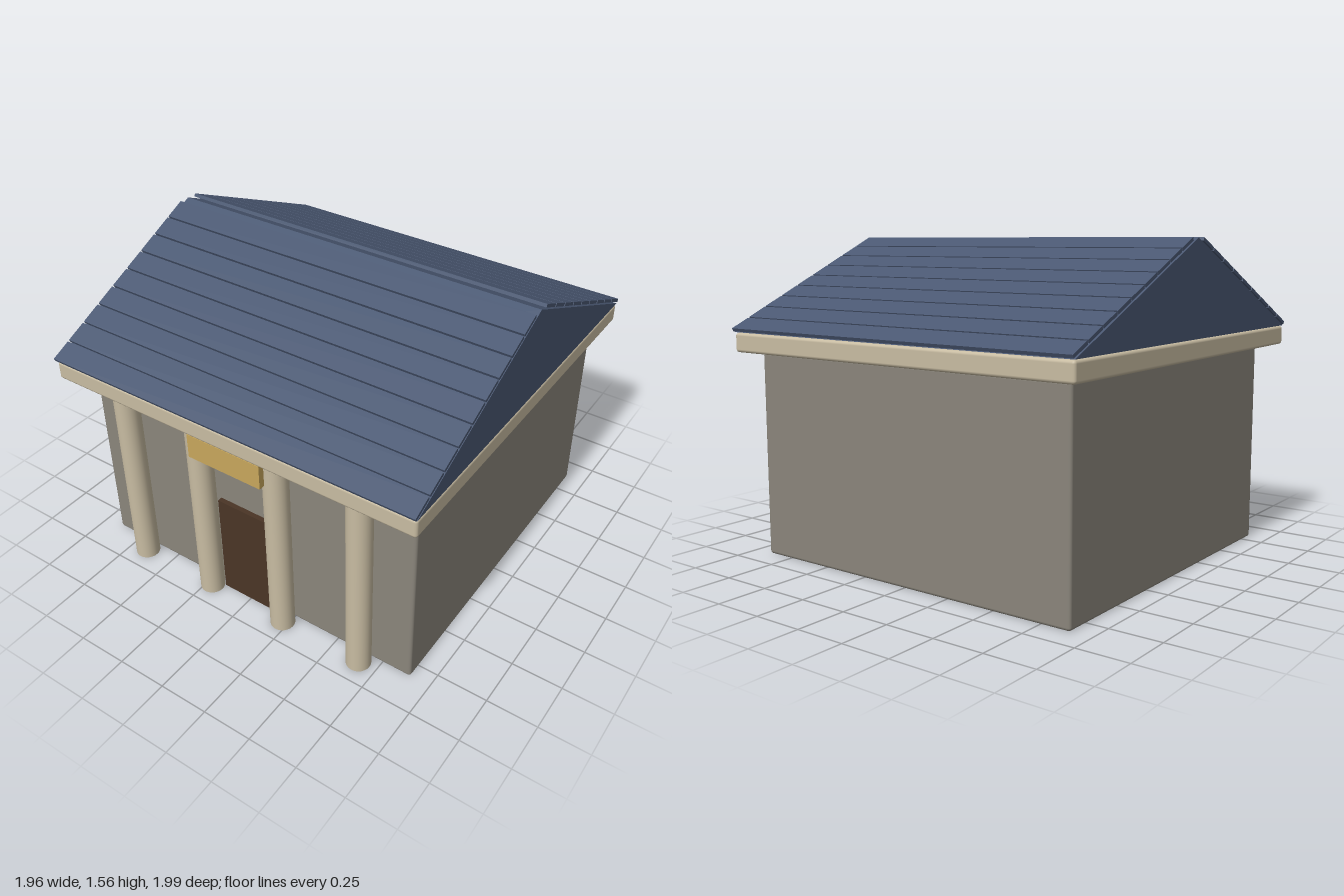
import * as THREE from 'three';
import { RoundedBoxGeometry } from 'three/addons/geometries/RoundedBoxGeometry.js';

const mat = (color) => new THREE.MeshStandardMaterial({ color });
const stone = mat(0x8a857b);
const cream = mat(0xc8bca2);
const slate = mat(0x4a5872);
const wood = mat(0x4a3526);
const gold = mat(0xc8a75c);

export function createModel() {
  const model = new THREE.Group();
  const add = (name, geometry, material, x, y, z) => {
    const mesh = new THREE.Mesh(geometry, material);
    mesh.name = name;
    mesh.position.set(x, y, z);
    model.add(mesh);
    return mesh;
  };

  // Softly bevelled wall block and the slab above it
  add('walls', new RoundedBoxGeometry(1.8, 1.01, 1.71, 2, 0.015), stone, 0, 0.505, -0.025);
  add('entablature', new RoundedBoxGeometry(1.96, 0.095, 1.96, 2, 0.015), cream, 0, 1.06, 0);

  // Row of columns in front of the wall
  const columnGeometry = new THREE.CylinderGeometry(0.06, 0.06, 1.01, 24);
  for (const x of [-0.655, -0.218, 0.218, 0.655]) {
    add('column', columnGeometry, cream, x, 0.505, 0.885);
  }

  // Entrance
  add('door', new THREE.BoxGeometry(0.32, 0.56, 0.04), wood, 0, 0.28, 0.835);
  add('signBoard', new THREE.BoxGeometry(0.4, 0.125, 0.04), gold, 0, 0.948, 0.953);

  // Gable roof: a triangle across z, extruded along x
  const half = 0.98, eaves = 1.11, rise = 0.45, length = 1.96;
  const gable = new THREE.Shape([
    new THREE.Vector2(-half, 0),
    new THREE.Vector2(half, 0),
    new THREE.Vector2(0, rise),
  ]);
  const roofGeometry = new THREE.ExtrudeGeometry(gable, { depth: length, bevelEnabled: false });
  roofGeometry.translate(0, 0, -length / 2);
  roofGeometry.rotateY(Math.PI / 2);
  add('roof', roofGeometry, slate, 0, eaves, 0);

  // Rows of slats floating just above both slopes
  const angle = Math.atan2(rise, half);
  const rows = 9, pitch = 0.1055, lift = 0.016;
  const slatGeometry = new THREE.BoxGeometry(length, 0.016, 0.107);
  for (const side of [-1, 1]) {
    for (let i = 0; i < rows; i++) {
      const z = 0.04 + (i + 0.5) * pitch;
      const y = eaves + rise * (1 - z / half);
      const slat = add('roofSlat', slatGeometry, slate, 0,
        y + lift * Math.cos(angle), side * (z + lift * Math.sin(angle)));
      slat.rotation.x = side * angle;
    }
  }
  return model;
}
